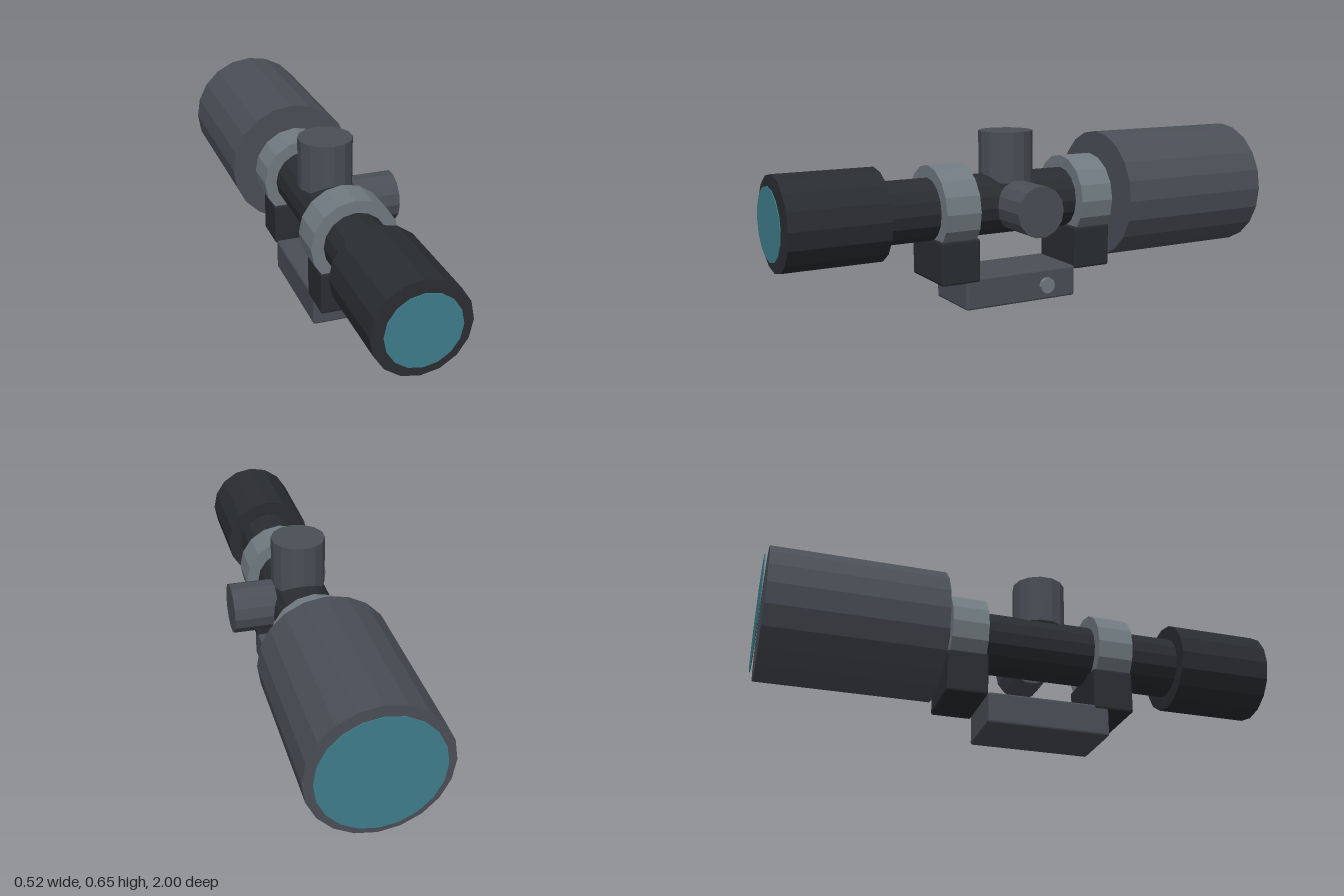
import * as THREE from 'three';
import { RoundedBoxGeometry } from 'three/addons/geometries/RoundedBoxGeometry.js';

const CX = -0.009; // optical axis
const CY = 0.372;

export function createModel() {
  const model = new THREE.Group();
  model.name = 'telescopicSight';

  const material = (color) => new THREE.MeshStandardMaterial({ color, flatShading: true });
  const dark = material(0x2a2d31);
  const grey = material(0x4a4e56);
  const light = material(0x707a80);
  const glass = material(0x3f7d8c);

  const add = (name, geometry, mat, x, y, z) => {
    const mesh = new THREE.Mesh(geometry, mat);
    mesh.name = name;
    mesh.position.set(x, y, z);
    model.add(mesh);
    return mesh;
  };

  // Cylinder lying along the optical axis between two z values
  const barrel = (name, radius, z0, z1, sides, mat) => {
    const geometry = new THREE.CylinderGeometry(radius, radius, z1 - z0, sides).rotateX(Math.PI / 2);
    return add(name, geometry, mat, CX, CY, (z0 + z1) / 2);
  };

  // Cylinder lying along x between two x values
  const sideways = (name, radius, x0, x1, sides, mat, y, z) => {
    const geometry = new THREE.CylinderGeometry(radius, radius, x1 - x0, sides).rotateZ(Math.PI / 2);
    return add(name, geometry, mat, (x0 + x1) / 2, y, z);
  };

  // Block with narrow chamfers
  const block = (name, w, h, d, mat, y0, z) =>
    add(name, new RoundedBoxGeometry(w, h, d, 1, 0.008), mat, -0.008, y0 + h / 2, z);

  // Optical body
  barrel('mainTube', 0.118, -0.35, 0.63, 16, dark);
  barrel('eyepiece', 0.173, 0.614, 0.985, 16, dark);
  barrel('objective', 0.25, -0.986, -0.335, 20, grey);

  // Lenses: thin discs just beyond each end
  barrel('eyepieceLens', 0.133, 0.997, 1, 16, glass);
  barrel('objectiveLens', 0.218, -1, -0.997, 20, glass);

  // Adjustment turrets
  add('topTurret', new THREE.CylinderGeometry(0.103, 0.103, 0.19, 14), grey, CX, 0.553, 0.077);
  sideways('sideTurret', 0.096, 0.09, 0.258, 14, grey, CY, 0.077);

  // Mounting rings and the blocks that carry them
  for (const [end, ringZ, blockZ] of [['front', 0.336, 0.333], ['rear', -0.237, -0.237]]) {
    barrel(end + 'Ring', 0.165, ringZ - 0.069, ringZ + 0.069, 16, light);
    block(end + 'MountBlock', 0.26, 0.164, 0.156, dark, 0.105, blockZ);
  }

  // Rail base and its clamp screw
  block('railBase', 0.252, 0.12, 0.47, grey, 0, 0.077);
  sideways('clampScrew', 0.031, 0.142, 0.157, 10, light, 0.064, -0.015);

  return model;
}
